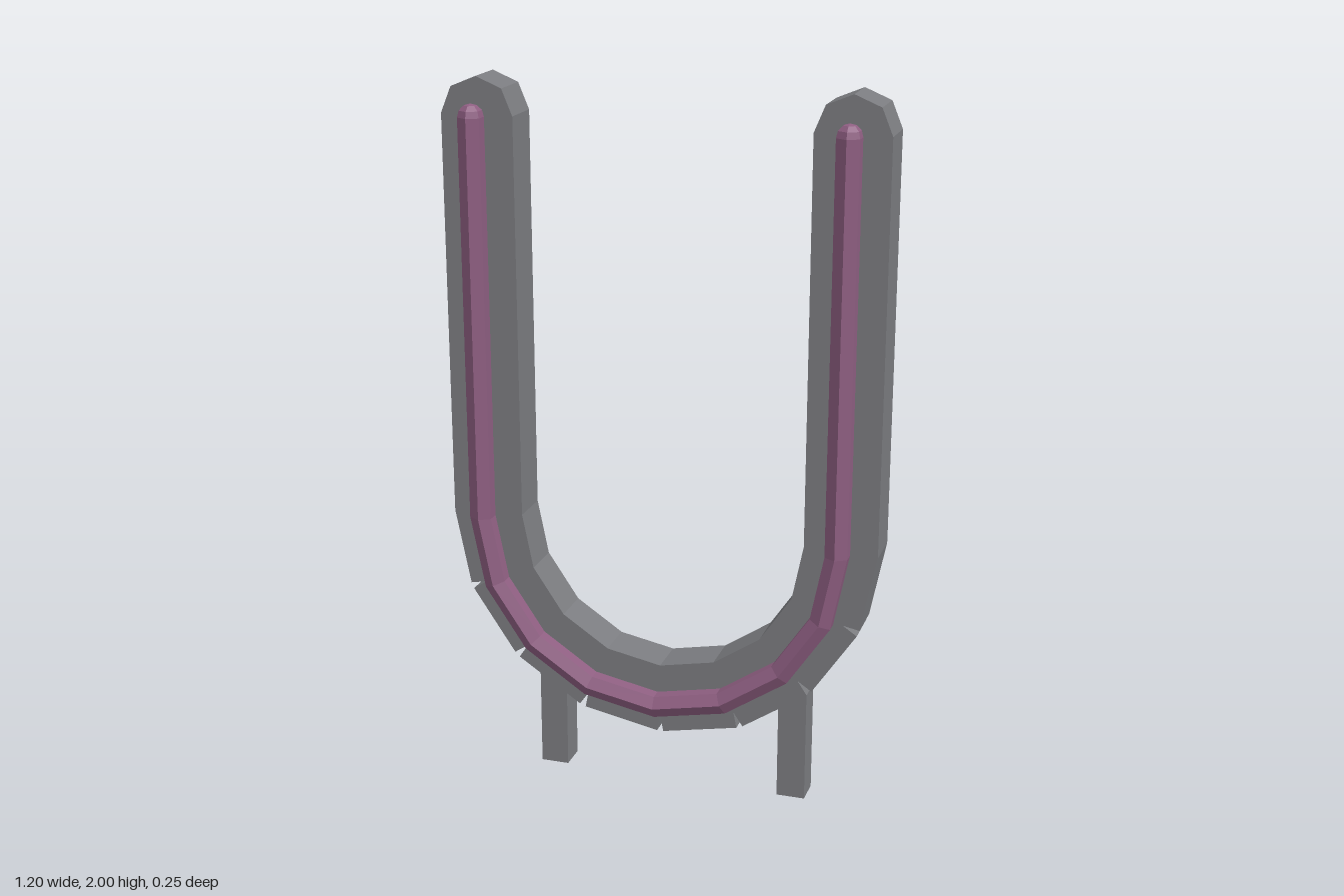
import * as THREE from 'three';

const BEND_Y = 0.8;   // centre height of the bend
const TOP_Y = 1.9;    // where the rounded tips begin
const SEGMENTS = 8;
const STEP = Math.PI / SEGMENTS;

// U-shaped slab: straight arms, faceted tips, and a bend made of straight blocks
function frameGeometry() {
  const points = [];
  const polar = (r, a) => points.push(new THREE.Vector2(r * Math.cos(a), BEND_Y - r * Math.sin(a)));
  const tip = (cx) => {
    for (let i = 0; i <= 4; i++) {
      const a = i * Math.PI / 4;
      points.push(new THREE.Vector2(cx + 0.1 * Math.cos(a), TOP_Y + 0.1 * Math.sin(a)));
    }
  };

  // outer edge of the bend, with small V notches where blocks meet
  const half = 0.108, outer = 0.59;
  const cornerR = Math.hypot(half, outer), cornerA = Math.atan2(half, outer);
  points.push(new THREE.Vector2(-0.6, BEND_Y));
  tip(-0.5);
  points.reverse();                       // left tip runs inner to outer
  for (let i = SEGMENTS - 1; i >= 0; i--) {
    const mid = (i + 0.5) * STEP;
    polar(cornerR, mid + cornerA);
    polar(cornerR, mid - cornerA);
    if (i > 0) polar(half / Math.sin(STEP / 2), i * STEP);
  }
  points.push(new THREE.Vector2(0.6, BEND_Y));
  tip(0.5);
  for (let i = 0; i <= SEGMENTS; i++) polar(0.4, i * STEP);

  // keep the left tip in path order: inner side, top, outer side
  const left = points.slice(0, 5).sort((a, b) => b.x - a.x);
  points.splice(0, 5, ...left);
  const geometry = new THREE.ExtrudeGeometry(new THREE.Shape(points), { depth: 0.12, bevelEnabled: false });
  return geometry.translate(0, 0, -0.068);
}

// Hexagonal rod swept along the U, closed by small domes
function rodGeometry() {
  const R = 0.035, SIDES = 6;
  const rings = [];   // centre, outward direction, radius
  const dome = [[0, 1], [Math.PI / 6, 1], [Math.PI / 3, 1], [Math.PI / 2, 1]].map(([a]) => a);
  const end = (x) => dome.map((a) => ({
    x, y: TOP_Y + R * Math.sin(a), nx: Math.sign(x), ny: 0, r: Math.max(R * Math.cos(a), 0.0005),
  }));
  rings.push(...end(0.5).reverse());
  for (let i = 0; i <= SEGMENTS; i++) {
    const nx = Math.cos(i * STEP), ny = -Math.sin(i * STEP);
    rings.push({ x: 0.5 * nx, y: BEND_Y + 0.5 * ny, nx, ny, r: R });
  }
  rings.push(...end(-0.5));

  const positions = [], index = [];
  rings.forEach(({ x, y, nx, ny, r }, j) => {
    for (let k = 0; k < SIDES; k++) {
      const a = Math.PI / 6 + k * Math.PI / 3;
      const c = r * Math.cos(a);
      positions.push(x + nx * c, y + ny * c, r * Math.sin(a));
      if (j === 0) continue;
      const k2 = (k + 1) % SIDES, p = (j - 1) * SIDES, q = j * SIDES;
      index.push(p + k, p + k2, q + k, p + k2, q + k2, q + k);
    }
  });
  const geometry = new THREE.BufferGeometry();
  geometry.setAttribute('position', new THREE.Float32BufferAttribute(positions, 3));
  geometry.setIndex(index);
  const flat = geometry.toNonIndexed();
  flat.computeVertexNormals();
  return flat;
}

export function createModel() {
  const grey = new THREE.MeshStandardMaterial({ name: 'grey metal', color: 0x7b7c80, flatShading: true });
  const mauve = new THREE.MeshStandardMaterial({
    name: 'mauve rod', color: 0x8f5f82, flatShading: true, side: THREE.DoubleSide,
  });
  const model = new THREE.Group();
  model.name = 'uShapedStand';
  const add = (name, geometry, material, x, y, z) => {
    const mesh = new THREE.Mesh(geometry, material);
    mesh.name = name;
    mesh.position.set(x, y, z);
    model.add(mesh);
  };

  add('frame', frameGeometry(), grey, 0, 0, 0);
  add('frontRod', rodGeometry(), mauve, 0, 0, 0.092);

  // posts behind the bend
  const post = new THREE.BoxGeometry(0.08, 0.5, 0.08);
  add('leftPost', post, grey, 0.354, 0.25, -0.087);
  add('rightPost', post, grey, -0.354, 0.25, -0.087);
  return model;
}
